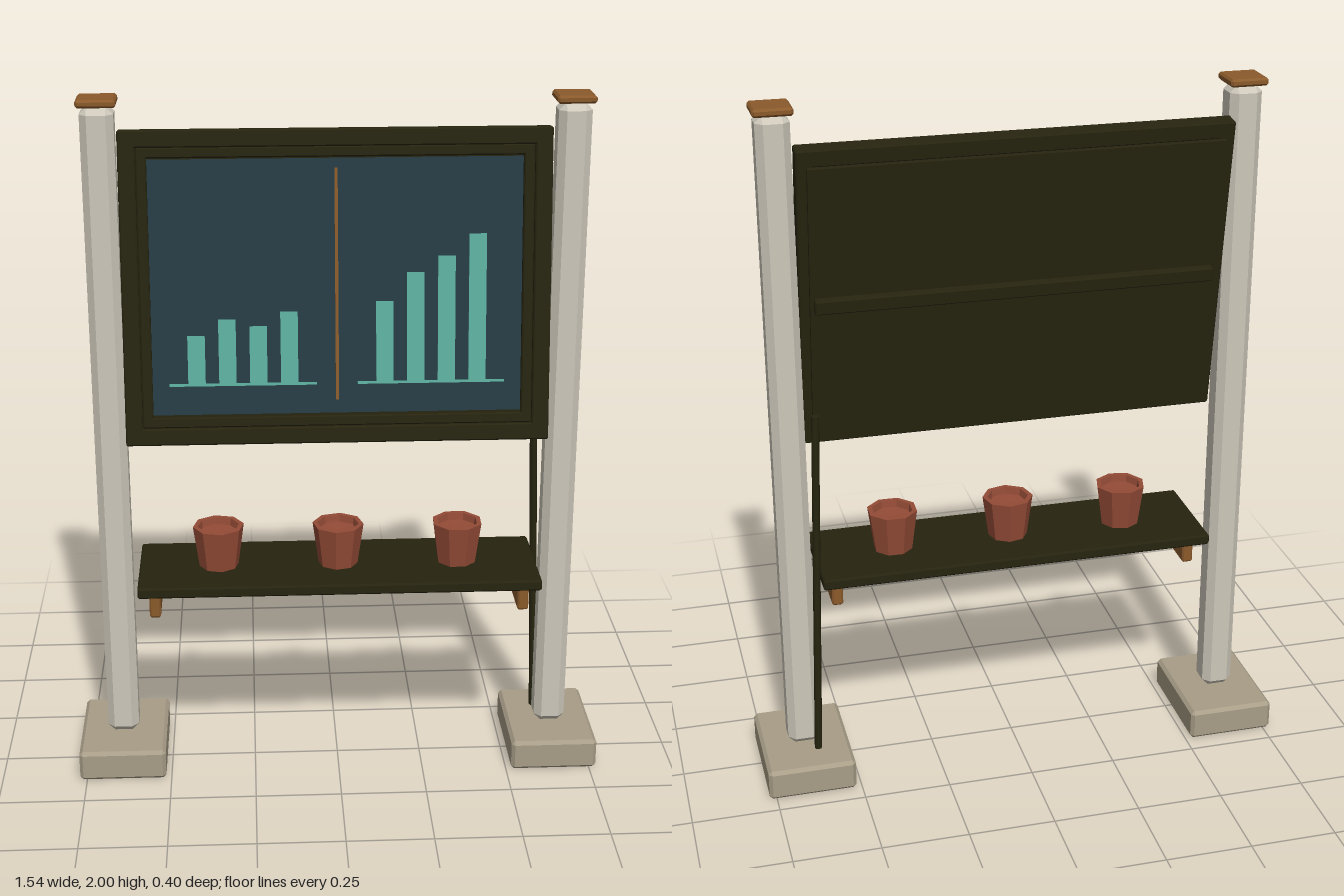
import * as THREE from 'three';
import { ConvexGeometry } from 'three/addons/geometries/ConvexGeometry.js';

const mat = (name, color, opts = {}) => {
  const m = new THREE.MeshStandardMaterial({ color, ...opts });
  m.name = name;
  return m;
};

// Box whose edges are all cut by a flat chamfer c
function chamferBox(w, h, d, c) {
  const points = [];
  const [a, b, e] = [w / 2, h / 2, d / 2];
  for (const x of [-1, 1]) for (const y of [-1, 1]) for (const z of [-1, 1]) {
    points.push(
      new THREE.Vector3(x * a, y * (b - c), z * (e - c)),
      new THREE.Vector3(x * (a - c), y * b, z * (e - c)),
      new THREE.Vector3(x * (a - c), y * (b - c), z * e));
  }
  return new ConvexGeometry(points);
}

export function createModel() {
  const stone = mat('stone post', 0xcdc8ba);
  const footing = mat('concrete footing', 0xa89d87);
  const olive = mat('dark olive', 0x26240f);
  const wood = mat('wood', 0x8a5a2b);
  const clay = mat('terracotta', 0x934b36);
  const slate = mat('slate blue', 0x263b45);
  const teal = mat('teal', 0x5caf9e);
  clay.flatShading = true;

  const model = new THREE.Group();
  model.name = 'noticeBoardStand';

  const add = (parent, name, geometry, material, x, y, z) => {
    const mesh = new THREE.Mesh(geometry, material);
    mesh.name = name;
    mesh.position.set(x, y, z);
    parent.add(mesh);
    return mesh;
  };
  const box = (parent, name, material, w, h, d, x, y, z, c = 0) =>
    add(parent, name, c ? chamferBox(w, h, d, c) : new THREE.BoxGeometry(w, h, d), material, x, y, z);

  // Posts with footings, caps and shelf brackets
  for (const s of [-1, 1]) {
    const side = s > 0 ? 'left' : 'right';
    box(model, side + 'Footing', footing, 0.255, 0.092, 0.34, s * 0.643, 0.046, -0.03, 0.01);
    box(model, side + 'Post', stone, 0.092, 1.885, 0.092, s * 0.645, 1.035, -0.026, 0.02);
    box(model, side + 'Cap', wood, 0.108, 0.022, 0.108, s * 0.645, 1.989, -0.028, 0.006);
    box(model, side + 'Bracket', wood, 0.032, 0.082, 0.22, s * 0.529, 0.58, 0.045, 0.005);
  }

  // Shelf
  box(model, 'shelf', olive, 1.15, 0.032, 0.32, 0, 0.636, 0.04, 0.005);

  // Flower pots, open with a shallow inner floor
  const profile = [[0, 0], [0.057, 0], [0.074, 0.123], [0.06, 0.123], [0.056, 0.103], [0, 0.1]]
    .map(([r, y]) => new THREE.Vector2(r, y));
  [-0.345, 0, 0.345].forEach((x, i) => {
    const pot = add(model, 'pot' + (i + 1), new THREE.LatheGeometry(profile, 8), clay, x, 0.652, 0.04);
    pot.rotation.y = 0.15 + i * 0.5;
  });

  // Support rod standing behind the left post
  const rodTop = new THREE.Vector3(0.575, 1.15, -0.097);
  const rodFoot = new THREE.Vector3(0.61, 0.09, -0.097);
  const axis = rodTop.clone().sub(rodFoot);
  const rod = add(model, 'supportRod', new THREE.CylinderGeometry(0.011, 0.011, axis.length(), 8), olive, 0, 0, 0);
  rod.position.copy(rodTop).add(rodFoot).multiplyScalar(0.5);
  rod.quaternion.setFromUnitVectors(new THREE.Vector3(0, 1, 0), axis.normalize());

  // Board, leaning back; its own z = 0 is the front of the frame
  const board = new THREE.Group();
  board.name = 'board';
  board.position.set(0, 1.465, -0.003);
  board.rotation.x = -THREE.MathUtils.degToRad(8);
  model.add(board);

  // Rectangular ring of four bars
  const ring = (name, w, h, t, depth, front) => {
    const z = front - depth / 2;
    for (const s of [-1, 1]) {
      box(board, name + (s > 0 ? 'Top' : 'Bottom'), olive, w, t, depth, 0, s * (h - t) / 2, z, 0.004);
      box(board, name + (s > 0 ? 'Left' : 'Right'), olive, t, h, depth, s * (w - t) / 2, 0, z, 0.004);
    }
  };
  ring('frame', 1.196, 0.88, 0.048, 0.05, 0);
  ring('trim', 1.1, 0.785, 0.03, 0.03, -0.012);
  box(board, 'backPanel', olive, 1.14, 0.785, 0.028, 0, 0, -0.049);
  box(board, 'backRail', olive, 1.12, 0.042, 0.026, 0, 0.002, -0.075, 0.004);
  box(board, 'screen', slate, 1.06, 0.716, 0.006, 0, 0, -0.032);

  // Painted charts: heights are given as world levels
  const level = y => (y - 1.465 + 0.004) / Math.cos(board.rotation.x);
  const plate = (name, material, x, w, y0, y1) =>
    box(board, name, material, w, level(y1) - level(y0), 0.004, x, (level(y0) + level(y1)) / 2, -0.027);

  plate('divider', wood, 0, 0.009, 1.145, 1.79);
  const charts = [
    { x: -0.265, tops: [1.33, 1.375, 1.355, 1.395] },
    { x: 0.265, tops: [1.42, 1.5, 1.545, 1.605] },
  ];
  for (const { x, tops } of charts) {
    plate('chartBaseline', teal, x, 0.415, 1.188, 1.195);
    tops.forEach((top, i) => plate('chartBar', teal, x + (i - 1.5) * 0.087, 0.049, 1.195, top));
  }

  return model;
}
